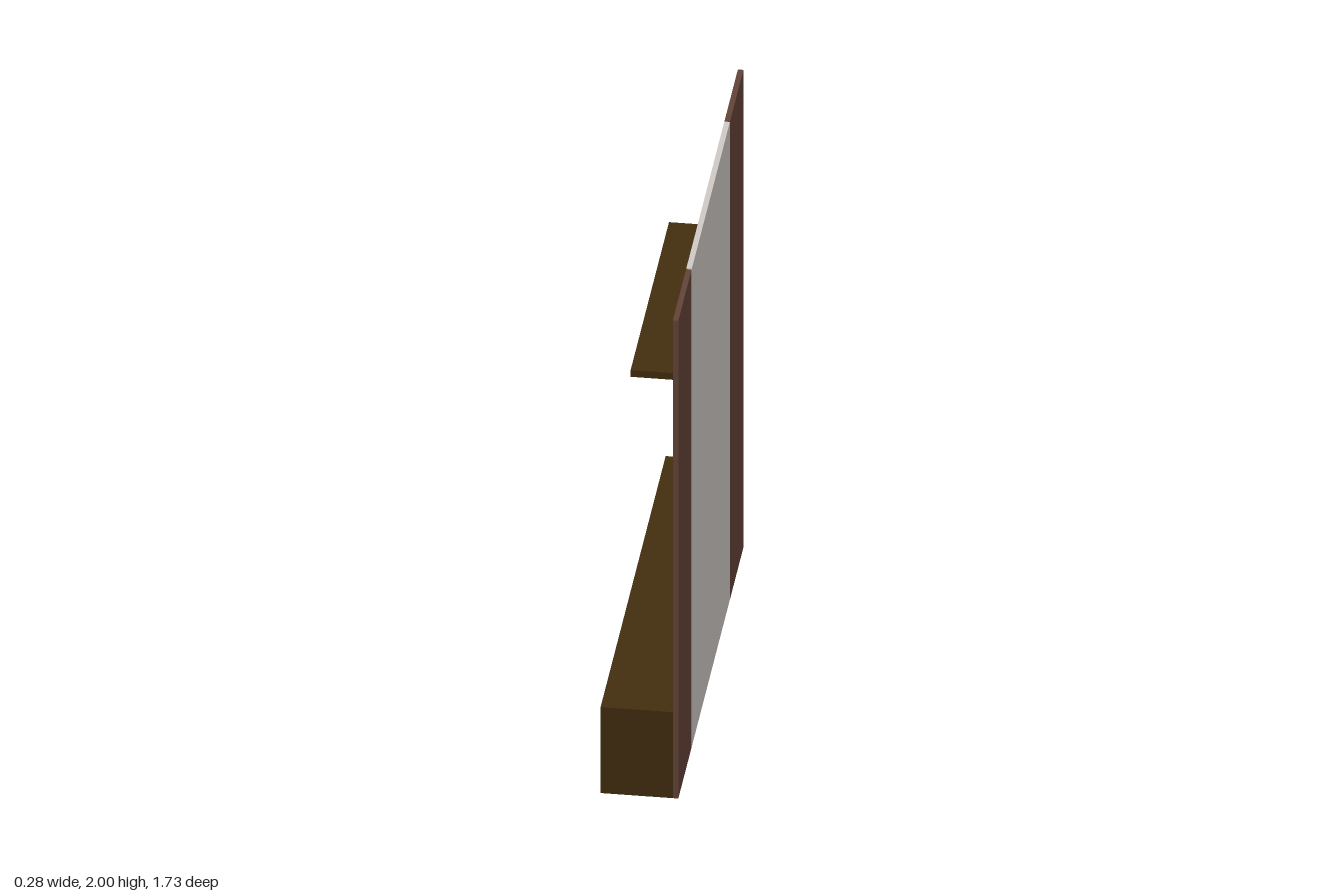
import * as THREE from 'three';

const mat = (name, color) => {
  const m = new THREE.MeshStandardMaterial({ color });
  m.name = name;
  return m;
};

export function createModel() {
  const wood = mat('darkWood', 0x432d0f);
  const brown = mat('brownPanel', 0x634438);
  const grey = mat('warmGrey', 0xcec9c5);
  const model = new THREE.Group();
  model.name = 'mediaWallUnit';

  // Box given by its minimum and maximum on each axis
  const board = (parent, name, material, [x0, x1], [y0, y1], [z0, z1]) => {
    const mesh = new THREE.Mesh(new THREE.BoxGeometry(x1 - x0, y1 - y0, z1 - z0), material);
    mesh.position.set((x0 + x1) / 2, (y0 + y1) / 2, (z0 + z1) / 2);
    mesh.name = name;
    parent.add(mesh);
  };
  const mirrored = (z0, z1) => [[z0, z1], [-z1, -z0]];

  const front = -0.14, wall = 0.12, back = 0.14;
  const halfLength = 0.865, height = 0.36, t = 0.012, niche = 0.27, nicheFloor = 0.2;

  // Wall panels, with a narrow joint between them
  const panels = new THREE.Group();
  panels.name = 'wallPanels';
  model.add(panels);
  board(panels, 'centrePanel', grey, [wall, back], [0, 2], [-0.506, 0.506]);
  for (const z of mirrored(0.511, halfLength)) board(panels, 'sidePanel', brown, [wall, back], [0, 2], z);

  // Floating shelf
  board(model, 'shelf', wood, [-0.08, wall], [1.532, 1.56], [-0.51, 0.51]);

  // Low cabinet carcass
  const cabinet = new THREE.Group();
  cabinet.name = 'cabinet';
  model.add(cabinet);
  const full = [-halfLength, halfLength];
  board(cabinet, 'top', wood, [front, wall], [height - t, height], full);
  board(cabinet, 'bottom', wood, [front, wall], [0, t], full);
  board(cabinet, 'backBoard', wood, [wall - t, wall], [t, height - t], full);
  for (const z of mirrored(halfLength - t, halfLength))
    board(cabinet, 'endPanel', wood, [front, wall - t], [t, height - t], z);
  for (const z of mirrored(niche - t / 2, niche + t / 2))
    board(cabinet, 'divider', wood, [front + t, wall - t], [t, height - t], z);
  board(cabinet, 'nicheFloor', wood, [front + t, wall - t], [nicheFloor - t, nicheFloor],
    [-niche + t / 2, niche - t / 2]);

  // Doors and the drawer below the open niche
  const face = [front + 0.001, front + t];
  const gap = 0.002;
  for (const z of mirrored(niche + gap, halfLength - t - gap))
    board(cabinet, 'door', grey, face, [t + gap, height - t - gap], z);
  board(cabinet, 'drawerFront', grey, face, [t + gap, nicheFloor], [-niche + gap, niche - gap]);

  return model;
}
